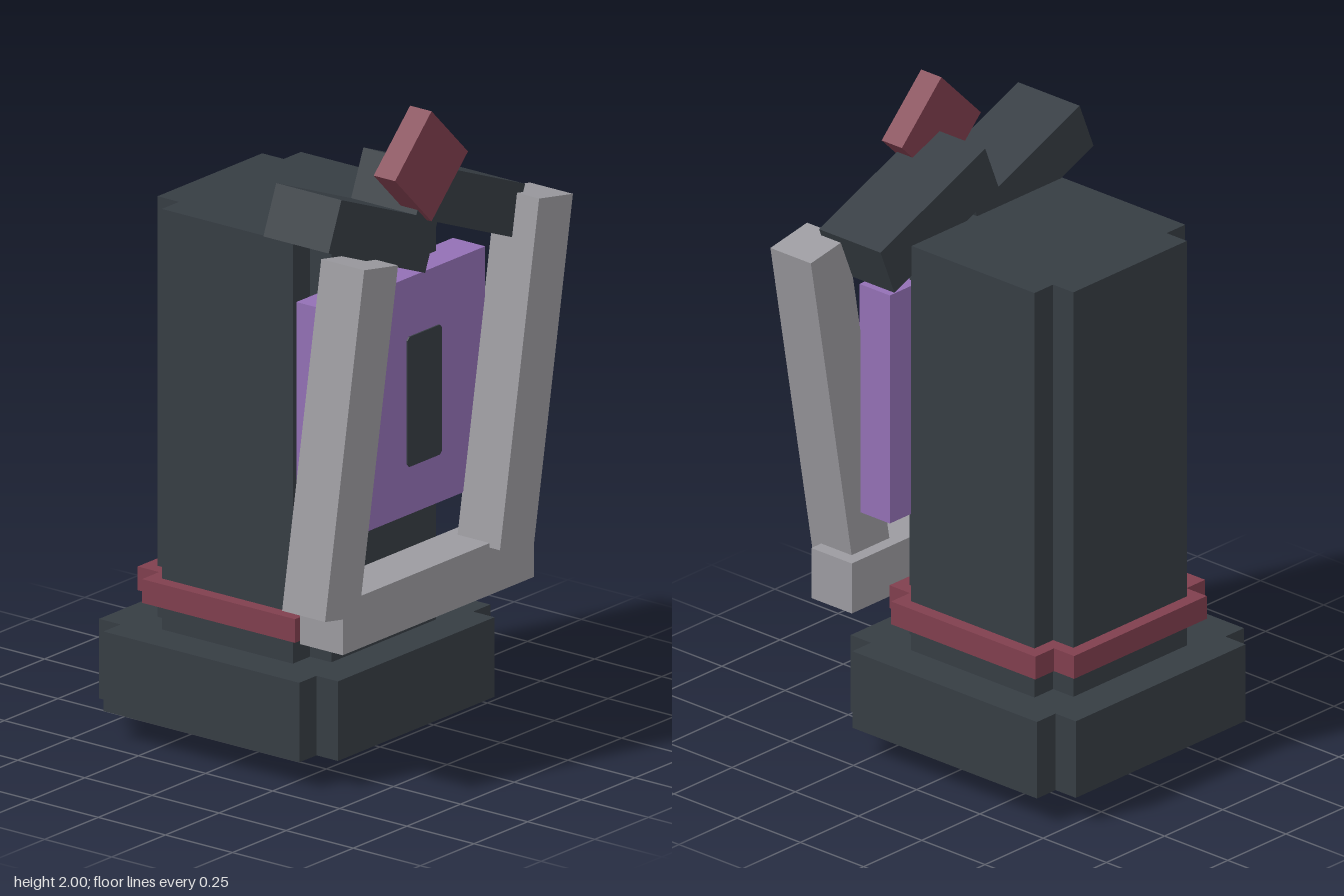
import * as THREE from 'three';

function material(name, color) {
  const m = new THREE.MeshStandardMaterial({ color });
  m.name = name;
  return m;
}

export function createModel() {
  const dark = material('charcoal', 0x363d43);
  const red = material('maroon', 0x803f4e);
  const grey = material('grey', 0x9c9ba0);
  const purple = material('purple', 0x9370b5);

  const model = new THREE.Group();
  model.name = 'blockTower';

  function add(name, geometry, mat, x, y, z, tilt = 0) {
    const mesh = new THREE.Mesh(geometry, mat);
    mesh.name = name;
    mesh.position.set(x, y, z);
    mesh.rotation.z = THREE.MathUtils.degToRad(tilt);
    model.add(mesh);
    return mesh;
  }

  const box = (w, h, d) => new THREE.BoxGeometry(w, h, d);

  // Square block with a square notch cut from each vertical corner
  function notchedBlock(half, height, notch = 0.08) {
    const a = half, b = half - notch;
    const shape = new THREE.Shape([
      [a, -b], [a, b], [b, b], [b, a], [-b, a], [-b, b],
      [-a, b], [-a, -b], [-b, -b], [-b, -a], [b, -a], [b, -b],
    ].map(([x, y]) => new THREE.Vector2(x, y)));
    return new THREE.ExtrudeGeometry(shape, { depth: height, bevelEnabled: false })
      .rotateX(-Math.PI / 2);
  }

  // Tower core, stacked from the ground up
  const coreZ = -0.06;
  add('foot', box(0.32, 0.085, 0.32), grey, 0, 0.0425, coreZ);
  add('base', notchedBlock(0.445, 0.245), dark, 0, 0.085, coreZ);
  add('body', notchedBlock(0.324, 1.295), dark, 0, 0.33, coreZ);
  add('band', notchedBlock(0.365, 0.073), red, 0, 0.414, coreZ);

  // Front panel with a small plate standing just ahead of it
  add('frontPanel', box(0.73, 0.73, 0.12), purple, 0, 1.1, 0.29);
  const w = 0.08, h = 0.2, c = 0.01;
  const slot = new THREE.Shape([
    [w - c, -h], [w, -h + c], [w, h - c], [w - c, h],
    [c - w, h], [-w, h - c], [-w, c - h], [c - w, -h],
  ].map(([x, y]) => new THREE.Vector2(x, y)));
  add('slotPlate', new THREE.ExtrudeGeometry(slot, { depth: 0.005, bevelEnabled: false }),
    dark, 0.04, 1.1, 0.38);

  // Sill, leaning posts and tilted roof slabs framing the panel
  add('sill', box(0.89, 0.16, 0.16), grey, 0, 0.53, 0.387);
  for (const side of [-1, 1]) {
    const label = side < 0 ? 'right' : 'left';
    add(label + 'Post', box(0.16, 1.05, 0.16), grey, side * 0.4075, 1.1, 0.427, -10);
    add(label + 'RoofSlab', box(0.485, 0.16, 0.243), dark, side * 0.203, 1.665, 0.303, -22);
  }

  // Diamond ornament on the roof
  add('diamond', box(0.24, 0.24, 0.08), red, 0, 1.83, 0.402, 45);

  return model;
}
